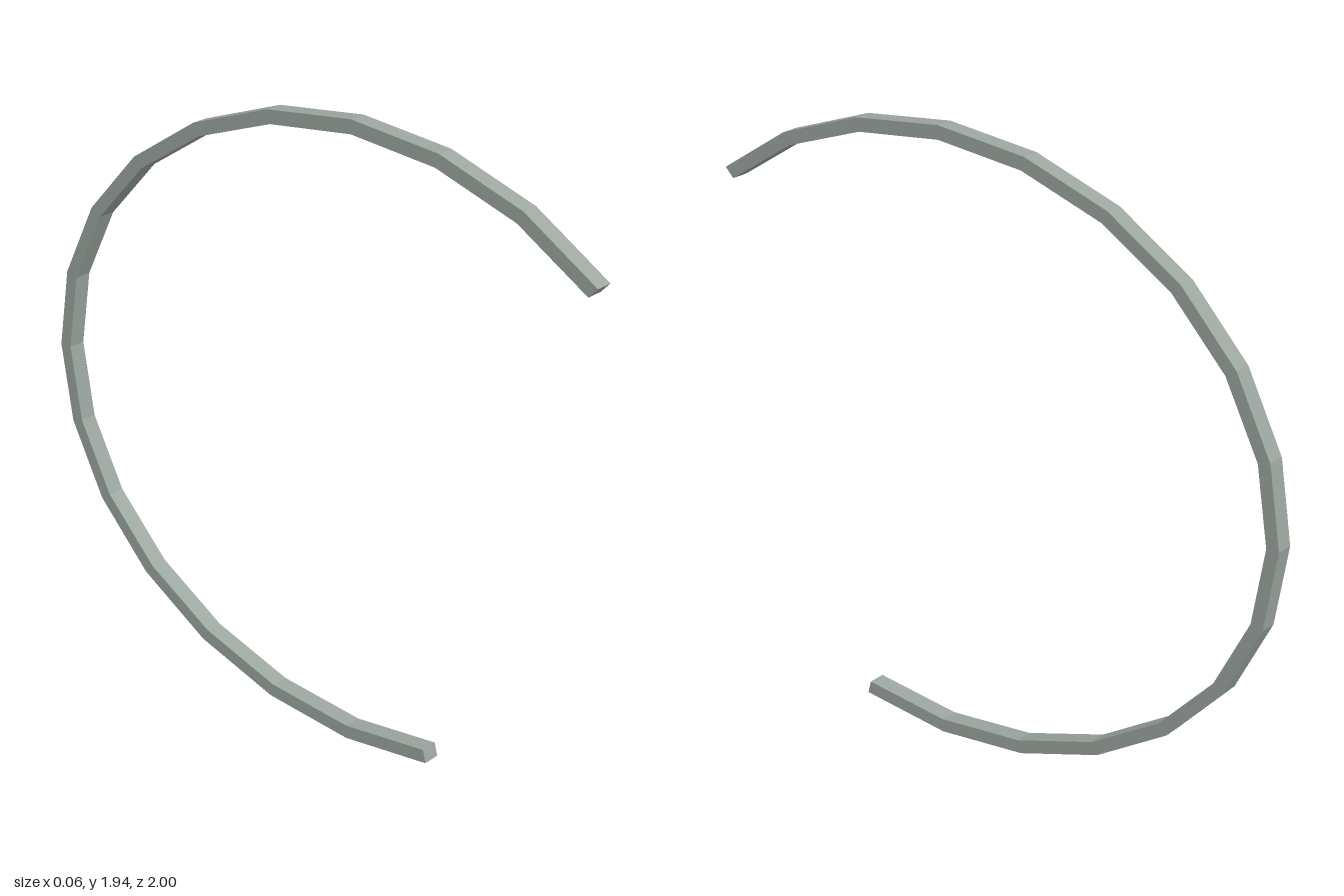
import * as THREE from 'three';

const STEP = Math.PI / 12;          // 15 degree facets
const FIRST = -7, LAST = 9;         // open arc, measured from the rear of the ellipse
const CENTRE_Z = 0.1716, CENTRE_Y = 0.9685;
const WIDTH = 0.056;

// Point on an ellipse in the z-y plane, angle 0 pointing to the back
const ellipsePoint = (i, a, b) => new THREE.Vector2(
  CENTRE_Z - a * Math.cos(i * STEP),
  CENTRE_Y + b * Math.sin(i * STEP)
);

export function createModel() {
  const group = new THREE.Group();
  group.name = 'openHoop';

  // Outline: along the outer edge, back along the inner edge
  const points = [];
  for (let i = FIRST; i <= LAST; i++) points.push(ellipsePoint(i, 1.1716, 0.9685));
  for (let i = LAST; i >= FIRST; i--) points.push(ellipsePoint(i, 1.131, 0.926));

  // Faceted band with a rectangular section, turned so the outline lies in the z-y plane
  const geometry = new THREE.ExtrudeGeometry(new THREE.Shape(points), {
    depth: WIDTH, bevelEnabled: false
  });
  geometry.translate(0, 0, -WIDTH / 2);
  geometry.rotateY(-Math.PI / 2);

  // Grey-green band
  const band = new THREE.Mesh(geometry, new THREE.MeshStandardMaterial({
    color: 0x9ba69f, flatShading: true
  }));
  band.name = 'curvedBand';
  group.add(band);
  return group;
}
